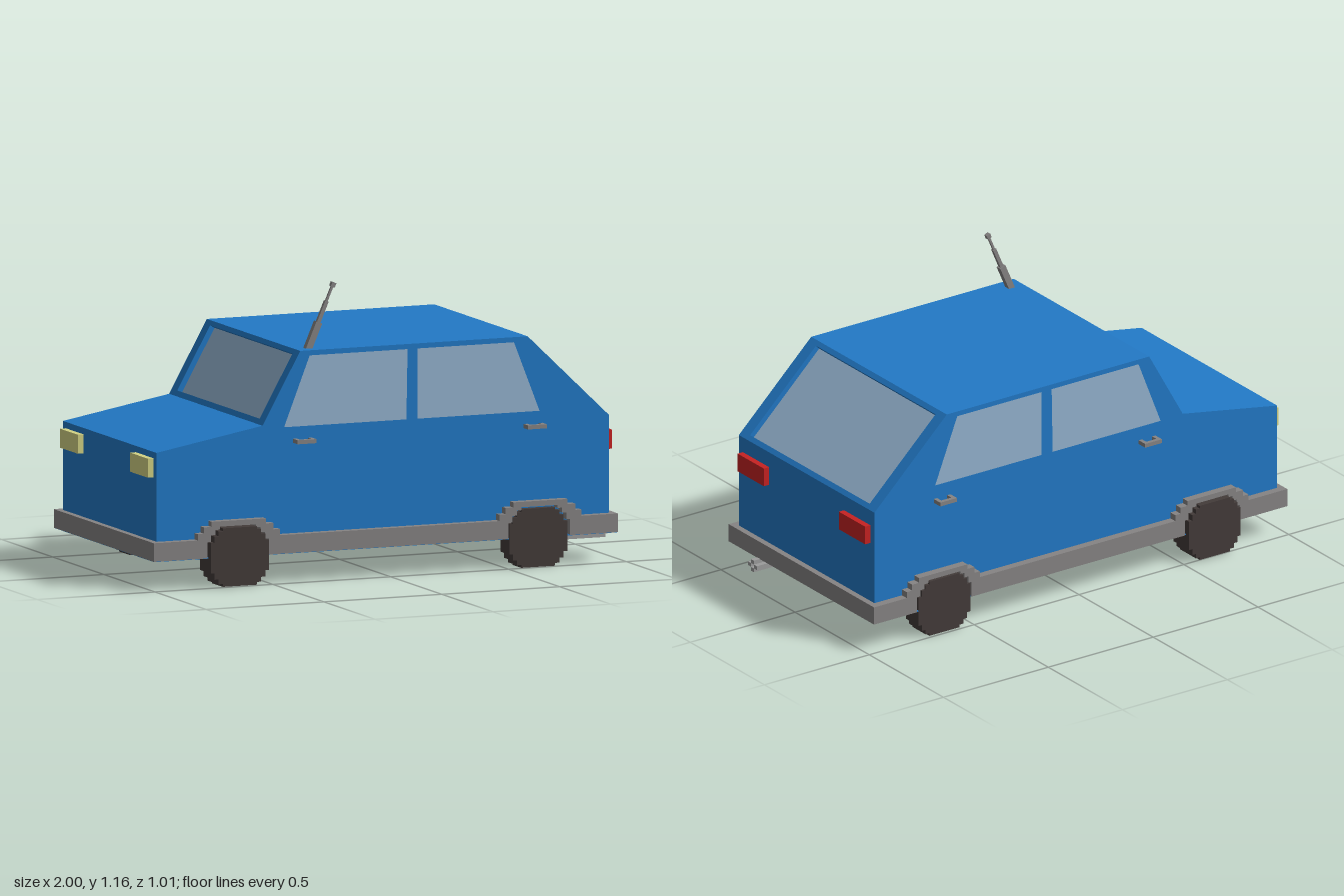
import * as THREE from 'three';

const flat = (name, color) => new THREE.MeshStandardMaterial({ name, color });

export function createModel() {
  const blue = flat('body blue', 0x2279c6);
  const glassMat = flat('window glass', 0x94b3cf);
  const grey = flat('trim grey', 0x868484);
  const tyre = flat('tyre black', 0x433b39);
  const red = flat('tail light red', 0xc62222);
  const yellow = flat('headlight yellow', 0xd2d284);
  const metal = flat('pale metal', 0x9c9c9c);

  const car = new THREE.Group();
  car.name = 'car';

  const add = (name, geometry, material, parent = car) => {
    const mesh = new THREE.Mesh(geometry, material);
    mesh.name = name;
    parent.add(mesh);
    return mesh;
  };
  // Box given by its lower and upper limits on each axis
  const box = (name, [x0, x1], [y0, y1], [z0, z1], material, parent) => {
    const mesh = add(name, new THREE.BoxGeometry(x1 - x0, y1 - y0, z1 - z0), material, parent);
    mesh.position.set((x0 + x1) / 2, (y0 + y1) / 2, (z0 + z1) / 2);
    return mesh;
  };
  const toPoints = (list) => list.map(([x, y]) => new THREE.Vector2(x, y));
  // Prism from an outline between two depths, with optional holes
  const prism = (outline, z0, z1, holes = []) => {
    const shape = new THREE.Shape(toPoints(outline));
    holes.forEach((h) => shape.holes.push(new THREE.Path(toPoints(h))));
    return new THREE.ExtrudeGeometry(shape, { depth: z1 - z0, bevelEnabled: false }).translate(0, 0, z0);
  };

  const base = 0.117, halfWidth = 0.457, recess = 0.025, inner = halfWidth - recess;
  const nose = [-0.975, 0.54], cowl = [-0.525, 0.62], roofFront = [-0.365, 0.905];
  const roofBack = [0.6, 0.905], tail = [0.945, 0.575];
  const profile = [[-0.975, base], nose, cowl, roofFront, roofBack, tail, [0.945, base]];

  // Sloping window panels: a is the lower end, b the upper, sign gives the outward side
  const slope = (name, a, b, sign, low, high) => {
    const length = Math.hypot(b[0] - a[0], b[1] - a[1]);
    const up = new THREE.Vector3((b[0] - a[0]) / length, (b[1] - a[1]) / length, 0);
    const out = new THREE.Vector3(sign * up.y, -sign * up.x, 0);
    const group = new THREE.Group();
    group.name = name;
    const side = new THREE.Vector3().crossVectors(up, out);
    group.applyMatrix4(new THREE.Matrix4().makeBasis(side, up, out).setPosition(a[0], a[1], 0));
    const w = 0.403, y0 = low * length, y1 = high * length;
    const opening = [[-w, y0], [w, y0], [w, y1], [-w, y1]];
    add(name + 'Frame', prism([[-inner, 0], [inner, 0], [inner, length], [-inner, length]], -recess, 0, [opening]), blue, group);
    add(name + 'Glass', prism(opening, -recess - 0.002, -recess + 0.003), glassMat, group);
    car.add(group);
    const inset = (p) => [p[0] - out.x * recess, p[1] - out.y * recess];
    return [inset(a), inset(b)];
  };
  const [frontLow, frontHigh] = slope('windshield', cowl, roofFront, -1, 0.07, 0.94);
  const [rearLow, rearHigh] = slope('rearWindow', tail, roofBack, 1, 0.045, 0.955);

  // Body core, notched to take the sloping panels
  add('bodyCore', prism([
    [-0.975, base], nose, cowl, frontLow, frontHigh, roofFront,
    roofBack, rearHigh, rearLow, tail, [0.945, base],
  ], -inner, inner), blue);
  box('floorPan', [-0.997, 0.967], [0.115, 0.12], [-0.485, 0.485], blue);

  // Stepped wheel outline, starting from one quarter
  const quarter = [[0.123, 0.06], [0.108, 0.06], [0.108, 0.085], [0.09, 0.085], [0.09, 0.104], [0.072, 0.104], [0.072, 0.115]];
  const upper = [...quarter, ...quarter.map(([x, y]) => [-x, y]).reverse()];
  const wheelOutline = [...upper, ...upper.map(([x, y]) => [-x, -y])];

  // Side trim with stepped wheel arches, in one outline
  const archStep = [[-0.174, 0.19], [-0.174, 0.215], [-0.148, 0.215], [-0.148, 0.24], [-0.115, 0.24], [-0.115, 0.26]];
  const arch = [...archStep, ...archStep.map(([x, y]) => [-x, y]).reverse()];
  const notch = [[0.13, base], ...upper.map(([x, y]) => [x * 1.06, 0.117 + y * 1.06]), [-0.13, base]];
  const archTop = (cx) => arch.map(([x, y]) => [cx + x, y]);
  const archNotch = (cx) => notch.map(([x, y]) => [cx + x, y]);
  const trimOutline = [
    [-1, base], [-1, 0.19], ...archTop(-0.64), ...archTop(0.64), [0.97, 0.19], [0.97, base],
    ...archNotch(0.635), ...archNotch(-0.643),
  ];
  box('frontBumper', [-1, -0.975], [base, 0.19], [-halfWidth, halfWidth], grey);
  box('rearBumper', [0.945, 0.97], [base, 0.19], [-halfWidth, halfWidth], grey);

  const sideWindows = [
    [[-0.435, 0.605], [-0.325, 0.885], [0.1, 0.885], [0.095, 0.605]],
    [[0.132, 0.605], [0.132, 0.885], [0.55, 0.885], [0.66, 0.605]],
  ];

  for (const s of [1, -1]) {
    const side = s > 0 ? 'left' : 'right';
    const span = (a, b) => (s > 0 ? [a, b] : [-b, -a]);

    // Side panel with recessed windows
    add(side + 'SidePanel', prism(profile, ...span(inner, halfWidth), sideWindows), blue);
    sideWindows.forEach((w, i) =>
      add(side + (i ? 'RearDoorGlass' : 'FrontDoorGlass'), prism(w, ...span(inner - 0.002, inner + 0.003)), glassMat));
    add(side + 'TrimAndArches', prism(trimOutline, ...span(halfWidth, 0.49)), grey);

    // Wheels
    const wheels = [['FrontWheel', -0.643, 0.119, 0.507], ['RearWheel', 0.632, 0.115, 0.487]];
    for (const [name, x, y, outer] of wheels) {
      add(side + name, prism(wheelOutline, ...span(0.4, outer)), tyre).position.set(x, y, 0);
    }

    // Door handles: a grip on two posts
    for (const x of [-0.355, 0.622]) {
      const handle = new THREE.Group();
      handle.name = side + 'DoorHandle';
      box('grip', [x - 0.04, x + 0.04], [0.545, 0.561], span(0.485, 0.501), grey, handle);
      for (const px of [x - 0.032, x + 0.032]) {
        box('post', [px - 0.008, px + 0.008], [0.545, 0.561], span(0.45, 0.486), grey, handle);
      }
      car.add(handle);
    }

    // Lights
    box(side + 'Headlight', [-1, -0.975], [0.44, 0.515], span(0.255, 0.43), yellow);
    box(side + 'TailLight', [0.945, 0.97], [0.437, 0.512], span(0.253, 0.43), red);
  }

  // Exhaust: four bars round a hollow centre
  const exhaust = new THREE.Group();
  exhaust.name = 'exhaust';
  for (const [dy, dz] of [[0.0165, 0], [-0.0165, 0], [0, 0.02], [0, -0.02]]) {
    const y = 0.094 + dy, z = 0.288 + dz;
    box('exhaustBar', [0.73, 1], [y - 0.008, y + 0.008], [z - 0.01, z + 0.01], metal, exhaust);
  }
  car.add(exhaust);

  // Telescopic antenna leaning back
  const antenna = new THREE.Group();
  antenna.name = 'antenna';
  antenna.position.set(-0.312, 0.895, 0.4);
  antenna.rotation.z = -Math.atan2(0.112, 0.26);
  for (const [y0, y1, w] of [[0, 0.12, 0.026], [0.12, 0.208, 0.015], [0.208, 0.268, 0.009], [0.268, 0.286, 0.018]]) {
    box('antennaSection', [-w / 2, w / 2], [y0, y1], [-w / 2, w / 2], grey, antenna);
  }
  car.add(antenna);

  return car;
}
